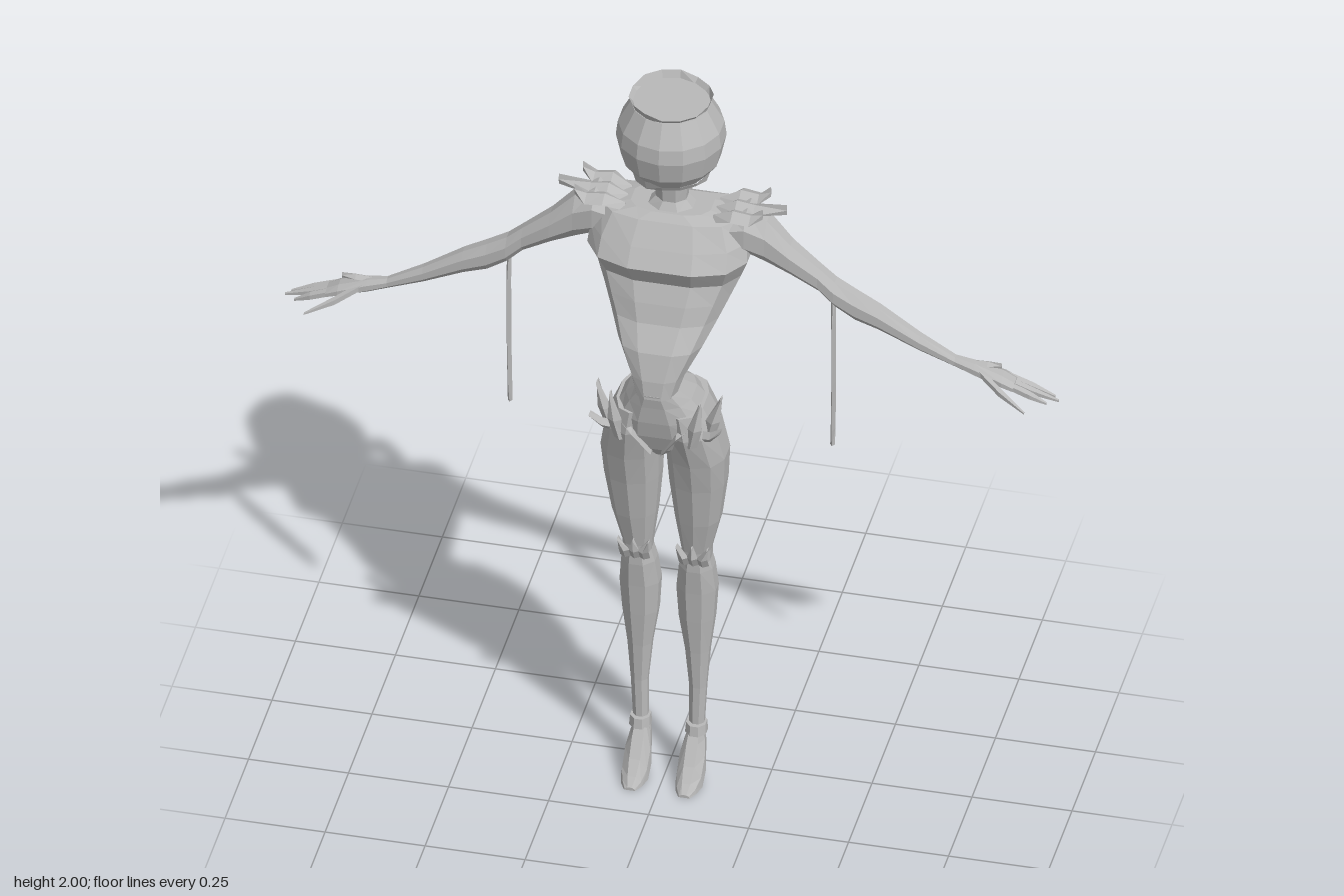
import * as THREE from 'three';

const grey = new THREE.MeshStandardMaterial({ color: 0xb8b8b8, flatShading: true, side: THREE.DoubleSide });
grey.name = 'plain grey';

// Skin a list of equal-sized point rings, cap both ends, and turn the faces outward
function loft(name, rings) {
  const n = rings[0].length, pos = rings.flat(2), idx = [];
  for (let i = 0; i < rings.length - 1; i++) {
    for (let j = 0; j < n; j++) {
      const a = i * n + j, b = i * n + (j + 1) % n;
      idx.push(a, a + n, b, b, a + n, b + n);
    }
  }
  const last = (rings.length - 1) * n;
  for (let j = 1; j < n - 1; j++) idx.push(0, j, j + 1, last, last + j + 1, last + j);
  const a = new THREE.Vector3(), b = new THREE.Vector3(), c = new THREE.Vector3();
  const o = new THREE.Vector3(...rings[0][0]);
  let volume = 0;
  for (let i = 0; i < idx.length; i += 3) {
    a.fromArray(pos, idx[i] * 3).sub(o);
    b.fromArray(pos, idx[i + 1] * 3).sub(o);
    c.fromArray(pos, idx[i + 2] * 3).sub(o);
    volume += a.dot(b.cross(c));
  }
  if (volume < 0) idx.reverse();
  const g = new THREE.BufferGeometry();
  g.setAttribute('position', new THREE.Float32BufferAttribute(pos, 3));
  g.setIndex(idx);
  g.computeVertexNormals();
  const mesh = new THREE.Mesh(g, grey);
  mesh.name = name;
  return mesh;
}

// Superellipse outline, pow under 1 is boxier
function outline(n, pow = 1) {
  return Array.from({ length: n }, (_, i) => {
    const t = (i + 0.5) / n * Math.PI * 2;
    const f = v => Math.sign(v) * Math.abs(v) ** pow;
    return [f(Math.cos(t)), f(Math.sin(t))];
  });
}

// Upright body part from rows of [y, xMin, xMax, zBack, zFront]
function upright(name, rows, n, pow, s = 1, groove = 0) {
  const k = 1 / Math.cos(Math.PI / n) ** (pow || 1);
  return loft(name, rows.map(([y, x0, x1, z0, z1]) => outline(n, pow).map(([u, v]) => {
    const dip = v < 0 && Math.abs(u) < 0.5 ? groove * (z1 - z0) : 0;
    return [s * ((x0 + x1) / 2 + u * k * (x1 - x0) / 2), y, (z0 + z1) / 2 + v * k * (z1 - z0) / 2 + dip];
  })));
}

// Sideways limb from rows of [x, y, z, half height, half depth]
function sideways(name, rows, n, s) {
  return loft(name, rows.map(([x, y, z, h, d]) =>
    outline(n).map(([u, v]) => [s * x, y + v * h * 1.06, z + u * d * 1.06])));
}

// Flat tapering blade along a path of [x, y, z, half width], thick along an axis
function blade(name, path, wide, thick, t, s = 1) {
  return loft(name, path.map(([x, y, z, w]) => [[1, 0], [0, 1], [-1, 0], [0, -1]].map(([u, v]) => [
    s * (x + wide[0] * u * w + thick[0] * v * t),
    y + wide[1] * u * w + thick[1] * v * t,
    z + wide[2] * u * w + thick[2] * v * t])));
}

// Open jagged collar
function jaggedRim(name, y, r, flare) {
  const g = new THREE.CylinderGeometry(r + flare, r - flare, 0.022, 14, 1, true);
  const p = g.attributes.position;
  for (let i = 0; i < p.count; i++) {
    const a = Math.round(Math.atan2(p.getZ(i), p.getX(i)) / (Math.PI / 7));
    p.setY(i, p.getY(i) + (a % 2 ? 0.004 : -0.004) * Math.sign(p.getY(i)));
  }
  const m = new THREE.Mesh(g, grey);
  m.name = name;
  m.position.set(0, y, 0.008);
  return m;
}

export function createModel() {
  const model = new THREE.Group();
  model.name = 'figure';
  const add = (...m) => model.add(...m);

  // Floating head
  const profile = [[0, 1.785], [0.095, 1.785], [0.122, 1.82], [0.135, 1.88], [0.13, 1.92], [0.098, 1.98], [0, 1.98]];
  const head = new THREE.Mesh(new THREE.LatheGeometry(profile.map(p => new THREE.Vector2(...p)), 14), grey);
  head.name = 'head';
  head.position.z = 0.008;
  add(head, jaggedRim('headTopRim', 1.985, 0.098, 0.006), jaggedRim('headBottomRim', 1.784, 0.1, 0.004));

  // Neck and torso
  add(upright('neck', [
    [1.62, -0.075, 0.075, -0.07, 0.06], [1.665, -0.06, 0.06, -0.05, 0.045],
    [1.69, -0.038, 0.038, -0.04, 0.03], [1.745, -0.042, 0.042, -0.04, 0.035]], 8));
  add(upright('torso', [
    [1.67, -0.1, 0.1, -0.07, 0.05], [1.655, -0.17, 0.17, -0.1, 0.07],
    [1.6, -0.195, 0.195, -0.145, 0.11], [1.555, -0.2, 0.2, -0.155, 0.14],
    [1.5, -0.18, 0.18, -0.15, 0.11], [1.45, -0.158, 0.158, -0.13, 0.13],
    [1.4, -0.135, 0.135, -0.07, 0.145], [1.34, -0.105, 0.105, -0.01, 0.185],
    [1.27, -0.068, 0.068, 0.05, 0.205], [1.22, -0.052, 0.052, 0.075, 0.21]], 12, 0.7, 1, 0.1));
  add(upright('pelvis', [
    [1.23, -0.052, 0.052, 0.075, 0.21], [1.19, -0.082, 0.082, 0.02, 0.203],
    [1.14, -0.112, 0.112, -0.005, 0.197], [1.09, -0.125, 0.125, -0.012, 0.185],
    [1.04, -0.08, 0.08, 0.0, 0.165], [1.0, -0.02, 0.02, 0.03, 0.13]], 12, 0.8));

  // Ridge along the spine and small tail
  add(blade('spineFin', [
    [0, 1.73, -0.045, 0.01], [0, 1.68, -0.1, 0.03], [0, 1.62, -0.155, 0.03], [0, 1.57, -0.18, 0.025],
    [0, 1.49, -0.165, 0.03], [0, 1.42, -0.11, 0.025], [0, 1.35, -0.03, 0.015], [0, 1.29, 0.03, 0.008]],
  [0, 0, 1], [1, 0, 0], 0.012));
  add(blade('tail', [
    [0, 1.3, 0.04, 0.008], [0, 1.25, 0.065, 0.015], [0, 1.2, 0.015, 0.014], [0, 1.12, -0.012, 0.01],
    [0, 1.07, -0.015, 0.003]], [0, 0, 1], [1, 0, 0], 0.01));

  // Front panel edge of the pelvis
  for (const s of [1, -1]) {
    const side = s > 0 ? 'left' : 'right';
    const put = (fn, name, ...args) => add(fn(side + name, ...args, s));

    // Legs
    add(upright(side + 'Thigh', [
      [1.16, 0.015, 0.108, 0.005, 0.19], [1.09, 0.008, 0.137, -0.012, 0.186],
      [0.99, 0.01, 0.155, -0.015, 0.155], [0.9, 0.013, 0.15, -0.012, 0.132],
      [0.78, 0.024, 0.134, -0.008, 0.108], [0.68, 0.037, 0.11, 0.003, 0.085],
      [0.64, 0.04, 0.108, 0.005, 0.08]], 10, 0.9, s));
    add(upright(side + 'Calf', [
      [0.67, 0.042, 0.104, 0.005, 0.08], [0.62, 0.03, 0.114, -0.005, 0.08],
      [0.55, 0.022, 0.12, -0.014, 0.073], [0.46, 0.027, 0.114, -0.012, 0.066],
      [0.36, 0.042, 0.102, 0.0, 0.057], [0.25, 0.052, 0.094, 0.01, 0.05],
      [0.13, 0.052, 0.088, 0.013, 0.05], [0.09, 0.05, 0.092, 0.015, 0.055]], 8, 1, s));

    // Knee trim
    for (const [x, tip] of [[0.05, 0.035], [0.073, 0.073], [0.097, 0.112]]) {
      put(blade, 'KneeSpike', [[x, 0.645, 0.078, 0.014], [x, 0.675, 0.096, 0.014], [tip, 0.71, 0.1, 0.002]],
        [1, 0, 0], [0, 0, 1], 0.01);
    }

    // High-heeled shoe: sole slope, ankle cuff and heel
    add(loft(side + 'Shoe', [
      [0.015, 0.07, 0.13, 0.022], [0.045, 0.055, 0.14, 0.028], [0.075, 0.03, 0.1, 0.035],
      [0.11, 0.0, 0.055, 0.034], [0.14, 0.0, 0.025, 0.026], [0.163, 0.0, 0.008, 0.014]
    ].map(([z, y0, y1, w]) => [[-1, 0], [-0.9, 0.5], [-0.4, 1], [0.4, 1], [0.9, 0.5], [1, 0]].map(
      ([u, v]) => [s * (0.068 + u * w), y0 + (y1 - y0) * v, z]))));
    add(upright(side + 'AnkleCuff', [
      [0.142, 0.046, 0.094, 0.008, 0.062], [0.115, 0.044, 0.096, 0.006, 0.066]], 8, 1, s));
    add(upright(side + 'Heel', [
      [0.1, 0.054, 0.082, 0.012, 0.045], [0.05, 0.061, 0.075, 0.02, 0.037], [0, 0.063, 0.073, 0.024, 0.034]], 6, 1, s));

    // Hip spikes and belt strip
    put(blade, 'BeltStrip', [[0.012, 1.03, 0.165, 0.006], [0.055, 1.1, 0.188, 0.012], [0.1, 1.135, 0.165, 0.016]],
      [0, 1, 0], [0, 0, 1], 0.012);
    put(blade, 'HipSpikeFront', [[0.088, 1.07, 0.175, 0.016], [0.1, 1.13, 0.185, 0.018], [0.112, 1.205, 0.18, 0.002]],
      [1, 0, 0], [0, 0, 1], 0.013);
    put(blade, 'HipSpikeSide', [[0.12, 1.07, 0.13, 0.016], [0.135, 1.13, 0.14, 0.018], [0.155, 1.2, 0.135, 0.002]],
      [1, 0, 0], [0, 0, 1], 0.015);
    put(blade, 'HipSpikeLow', [[0.105, 1.09, 0.155, 0.018], [0.135, 1.1, 0.165, 0.014], [0.165, 1.13, 0.175, 0.002]],
      [0, 1, 0], [0, 0, 1], 0.012);

    // Arms
    add(sideways(side + 'Arm', [
      [0.14, 1.615, -0.02, 0.05, 0.07], [0.19, 1.62, -0.015, 0.065, 0.065], [0.24, 1.598, -0.008, 0.062, 0.05],
      [0.3, 1.555, 0, 0.044, 0.038], [0.37, 1.505, 0, 0.034, 0.03], [0.41, 1.468, 0, 0.036, 0.032],
      [0.46, 1.437, 0, 0.038, 0.03], [0.52, 1.41, 0, 0.032, 0.027], [0.62, 1.355, 0.002, 0.022, 0.021],
      [0.71, 1.312, 0.003, 0.014, 0.015], [0.76, 1.298, 0.003, 0.018, 0.022], [0.83, 1.277, 0.003, 0.016, 0.03],
      [0.86, 1.265, 0.003, 0.012, 0.028]], 8, s));

    // Hand
    [[-0.018, 0.955], [0.0, 0.967], [0.02, 0.94]].forEach(([z, tip], i) => {
      add(sideways(side + 'Finger' + (i + 1), [
        [0.84, 1.272, z * 0.9, 0.011, 0.01], [0.9, 1.25, z, 0.01, 0.01], [tip, 1.231, z * 0.9, 0.004, 0.003]], 5, s));
    });
    add(sideways(side + 'Thumb', [
      [0.77, 1.298, 0.012, 0.011, 0.012], [0.83, 1.268, 0.048, 0.011, 0.011], [0.9, 1.243, 0.085, 0.003, 0.004]], 5, s));
    put(blade, 'HandSpike', [[0.74, 1.31, 0.0, 0.012], [0.79, 1.312, 0.0, 0.012], [0.825, 1.312, 0.0, 0.002]],
      [0, 0, 1], [0, 1, 0], 0.008);

    // Shoulder blades
    for (const [z, x, y] of [[-0.055, 0.235, 1.7], [-0.01, 0.285, 1.685], [0.035, 0.235, 1.695]]) {
      put(blade, 'ShoulderSpike', [[0.11, 1.655, z * 0.8, 0.015], [0.16, 1.678, z, 0.03], [0.205, 1.672, z, 0.028], [x, y, z, 0.003]],
        [0, 0, 1], [0, 1, 0], 0.015);
    }

    // Streamer hanging from the elbow
    put(blade, 'Streamer', [
      [0.405, 1.455, 0.005, 0.008], [0.406, 1.38, 0.008, 0.018], [0.406, 1.2, 0.006, 0.02],
      [0.404, 1.06, 0.005, 0.017], [0.403, 1.01, 0.006, 0.008]], [0, 0, 1], [1, 0, 0], 0.006);
  }
  return model;
}
